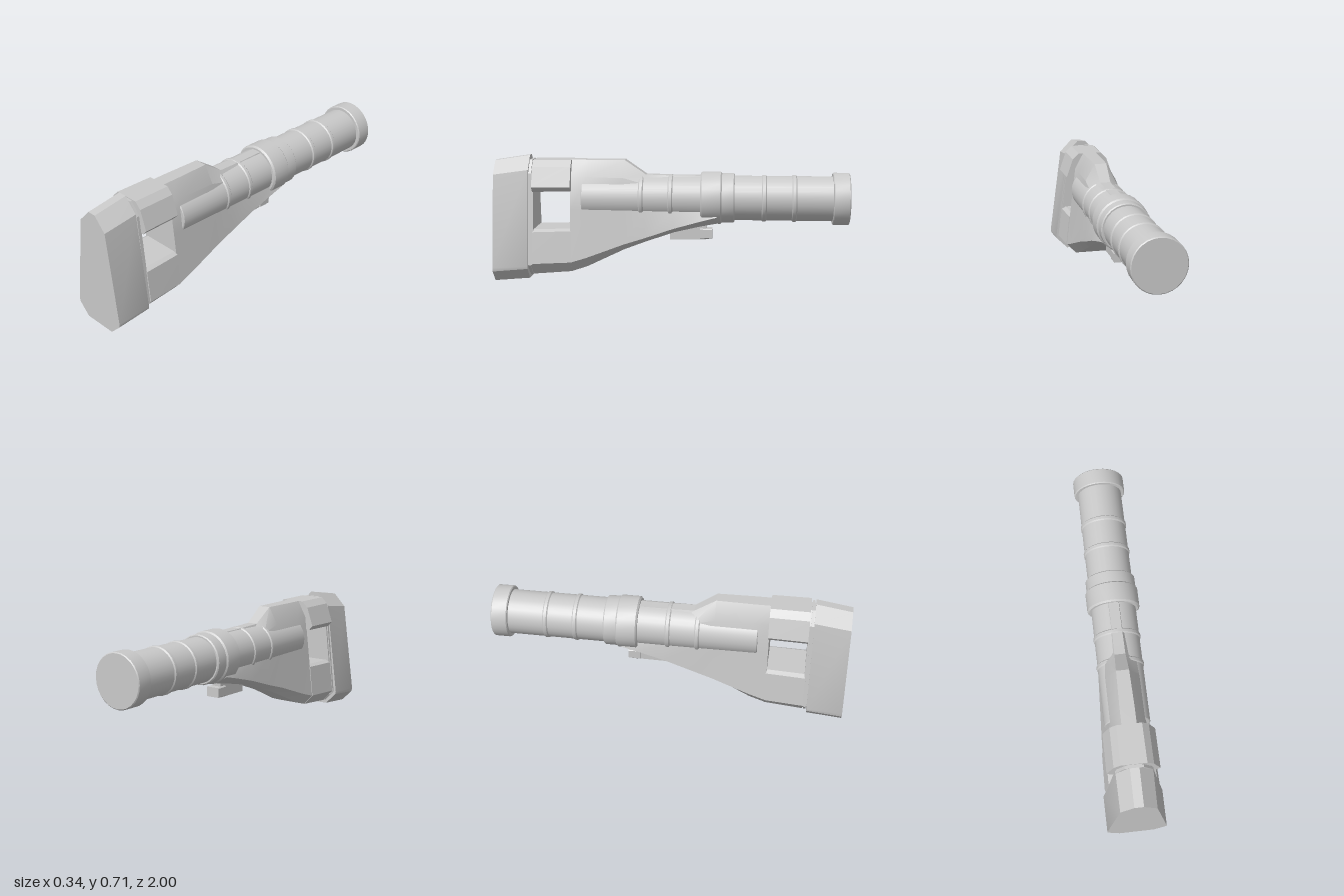
import * as THREE from 'three';
import { toCreasedNormals } from 'three/addons/utils/BufferGeometryUtils.js';

const AXIS_Y = 0.478; // height of the tube's centre line

// Solid from mirrored half sections, ordered front to back.
// Each section: [z, [x, y], ...] listing the +x half from bottom to top.
function loft(sections) {
  const rings = sections.map(([z, ...half]) => [
    ...half.map(([x, y]) => [x, y, z]),
    ...half.map(([x, y]) => [-x, y, z]).reverse(),
  ]);
  const pos = [];
  const tri = (a, b, c) => pos.push(...a, ...b, ...c);
  const n = rings[0].length;
  for (let r = 0; r < rings.length - 1; r++) {
    const a = rings[r], b = rings[r + 1];
    for (let i = 0; i < n; i++) {
      const j = (i + 1) % n;
      tri(a[i], b[i], b[j]);
      tri(a[i], b[j], a[j]);
    }
  }
  const first = rings[0], last = rings[rings.length - 1];
  for (let i = 1; i < n - 1; i++) {
    tri(first[0], first[i], first[i + 1]);
    tri(last[0], last[i + 1], last[i]);
  }
  const geo = new THREE.BufferGeometry();
  geo.setAttribute('position', new THREE.Float32BufferAttribute(pos, 3));
  return toCreasedNormals(geo, 0.45);
}

// Bevelled disc or tube along z, closed at both ends
function roundBar(radius, zBack, zFront, bevel) {
  const profile = [
    [0, zBack], [radius - bevel, zBack], [radius, zBack + bevel],
    [radius, zFront - bevel], [radius - bevel, zFront], [0, zFront],
  ].map(([x, y]) => new THREE.Vector2(x, y));
  const geo = new THREE.LatheGeometry(profile, 28);
  geo.rotateX(Math.PI / 2);
  geo.translate(0, AXIS_Y, 0);
  return toCreasedNormals(geo, 0.5);
}

export function createModel() {
  const model = new THREE.Group();
  model.name = 'shoulderStock';
  const grey = new THREE.MeshStandardMaterial({ color: 0xc9c9c9 });
  grey.name = 'lightGrey';
  const add = (name, geo) => {
    const mesh = new THREE.Mesh(geo, grey);
    mesh.name = name;
    model.add(mesh);
  };

  // Butt pad, leaning slightly
  add('buttPad', loft([
    [1.0, [0.098, 0.003], [0.164, 0.067], [0.168, 0.088], [0.097, 0.61], [0.025, 0.685]],
    [0.8, [0.098, 0.02], [0.164, 0.085], [0.168, 0.1], [0.099, 0.638], [0.025, 0.716]],
  ]));

  // Recessed plate behind the pad, with a raised rim
  add('padPlate', loft([
    [0.8, [0.09, 0.05], [0.15, 0.105], [0.094, 0.615], [0.04, 0.686]],
    [0.772, [0.09, 0.05], [0.15, 0.105], [0.094, 0.615], [0.04, 0.686]],
  ]));
  add('padPlateRim', loft([
    [0.795, [0.094, 0.042], [0.155, 0.104], [0.1, 0.62], [0.05, 0.692]],
    [0.782, [0.094, 0.042], [0.155, 0.104], [0.1, 0.62], [0.05, 0.692]],
  ]));

  // Upper and lower bridges, leaving the window between them
  add('upperBridge', loft([
    [0.775, [0.118, 0.517], [0.144, 0.545], [0.106, 0.657], [0.07, 0.692]],
    [0.558, [0.118, 0.522], [0.142, 0.548], [0.104, 0.657], [0.068, 0.692]],
  ]));
  add('lowerBridge', loft([
    [0.775, [0.095, 0.044], [0.157, 0.112], [0.135, 0.29], [0.11, 0.303]],
    [0.558, [0.092, 0.061], [0.15, 0.122], [0.13, 0.297], [0.108, 0.31]],
  ]));

  // Main body, tapering back beneath the tube
  add('body', loft([
    [0.562, [0.09, 0.06], [0.147, 0.12], [0.111, 0.42], [0.09, 0.6], [0.04, 0.692]],
    [0.47, [0.087, 0.09], [0.142, 0.148], [0.11, 0.42], [0.09, 0.6], [0.04, 0.692]],
    [0.26, [0.07, 0.188], [0.13, 0.225], [0.108, 0.42], [0.09, 0.595], [0.035, 0.692]],
    [0.14, [0.063, 0.232], [0.123, 0.262], [0.107, 0.415], [0.085, 0.56], [0.03, 0.61]],
    [-0.02, [0.056, 0.286], [0.119, 0.316], [0.106, 0.412], [0.08, 0.5], [0.028, 0.605]],
    [-0.17, [0.05, 0.32], [0.118, 0.358], [0.106, 0.412], [0.07, 0.5], [0.028, 0.605]],
    [-0.26, [0.046, 0.336], [0.117, 0.381], [0.104, 0.412], [0.05, 0.5], [0.028, 0.55]],
  ]));

  // Tube, its front part showing through the body's sides
  add('tube', roundBar(0.126, -0.95, 0.5, 0.004));
  add('endCap', roundBar(0.147, -1, -0.907, 0.005));
  add('frontCollar', roundBar(0.148, -0.29, -0.168, 0.009));
  add('rearCollar', roundBar(0.14, -0.36, -0.28, 0.006));
  for (const z of [-0.693, -0.525, 0, 0.165]) {
    add('tubeRing', roundBar(0.132, z - 0.014, z + 0.014, 0.006));
  }

  // Sling mount under the tail
  add('slingRail', loft([
    [0.005, [0.028, 0.24], [0.028, 0.31]],
    [-0.2, [0.028, 0.242], [0.028, 0.325]],
  ]));
  add('slingBlock', loft([
    [-0.165, [0.036, 0.246], [0.04, 0.25], [0.04, 0.3], [0.036, 0.305]],
    [-0.235, [0.036, 0.248], [0.04, 0.252], [0.04, 0.298], [0.036, 0.303]],
  ]));

  return model;
}
